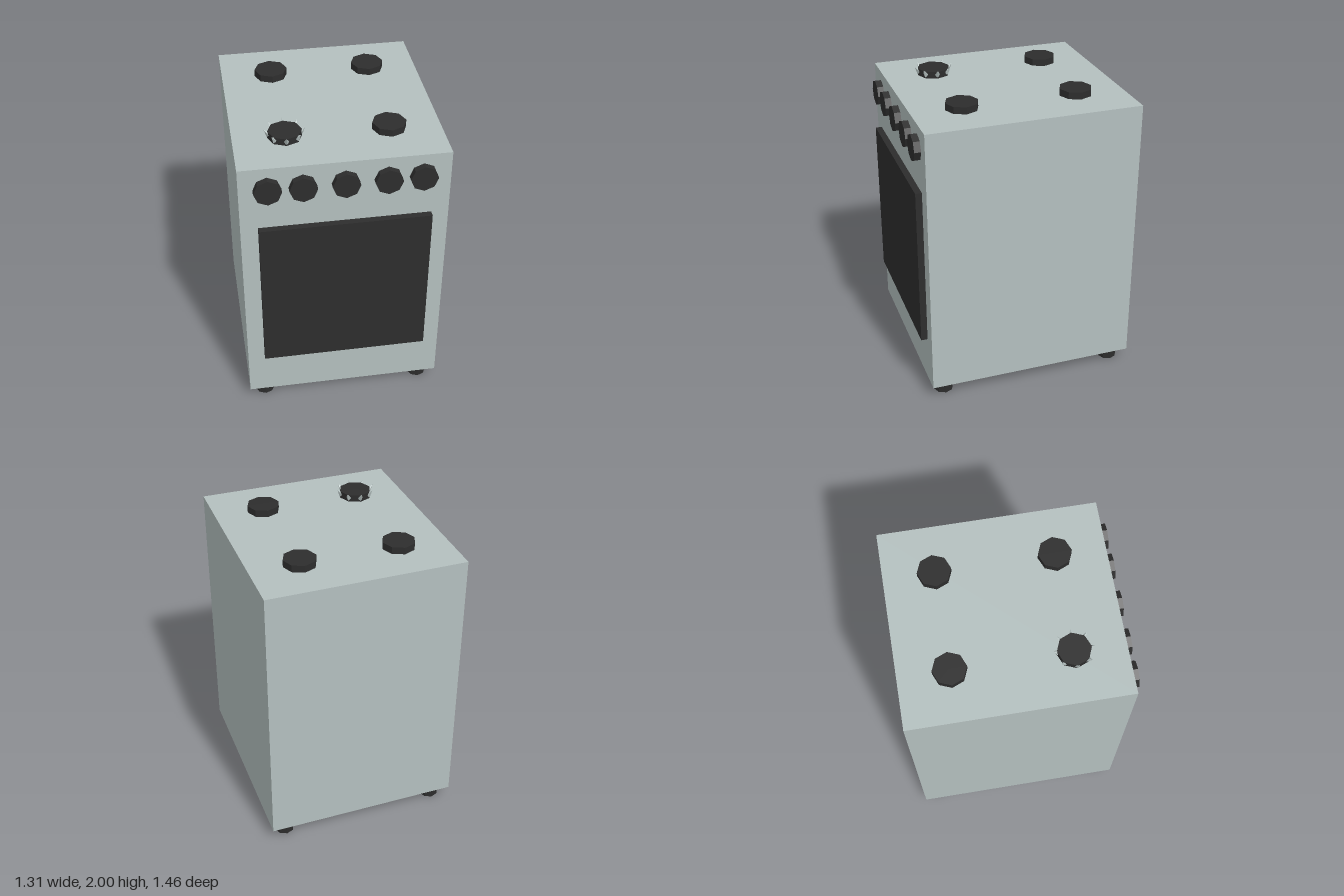
import * as THREE from 'three';

export function createModel() {
  const stove = new THREE.Group();
  stove.name = 'stove';

  const enamel = new THREE.MeshStandardMaterial({ color: 0xb4c0bf, flatShading: true });
  enamel.name = 'pale grey enamel';
  const black = new THREE.MeshStandardMaterial({ color: 0x2d2d2d, flatShading: true });
  black.name = 'black iron';

  function add(name, geometry, material, x, y, z, parent = stove) {
    const mesh = new THREE.Mesh(geometry, material);
    mesh.name = name;
    mesh.position.set(x, y, z);
    parent.add(mesh);
    return mesh;
  }

  // Cabinet and oven door
  add('body', new THREE.BoxGeometry(1.308, 1.85, 1.417), enamel, 0, 1.015, -0.0215);
  add('ovenDoor', new THREE.BoxGeometry(1.088, 1.088, 0.06), black, 0, 0.961, 0.7);

  // Control knobs
  const knob = new THREE.CylinderGeometry(0.087, 0.087, 0.06, 8).rotateX(Math.PI / 2);
  for (const x of [-0.479, -0.262, 0, 0.262, 0.479]) add('knob', knob, black, x, 1.79, 0.7);

  // Feet and burners, mirrored left and right
  const foot = new THREE.CylinderGeometry(0.065, 0.065, 0.09, 8);
  const burner = new THREE.CylinderGeometry(0.108, 0.108, 0.046, 8);
  for (const side of [-1, 1]) {
    for (const z of [0.588, -0.628]) add('foot', foot, black, side * 0.545, 0.045, z);
    for (const z of [0.357, -0.405]) add('burner', burner, black, side * 0.327, 1.963, z);
  }

  // Ring of small flames leaning outward from the front right burner
  const flames = new THREE.Group();
  flames.name = 'flames';
  flames.position.set(-0.327, 1.98, 0.357);
  stove.add(flames);
  const flame = new THREE.ConeGeometry(0.02, 0.05, 4).rotateZ(-0.7);
  for (let i = 0; i < 8; i++) {
    const a = (i * Math.PI) / 4;
    const tip = add('flame', flame, enamel, Math.cos(a) * 0.112, 0, -Math.sin(a) * 0.112, flames);
    tip.rotation.y = a;
  }

  return stove;
}
